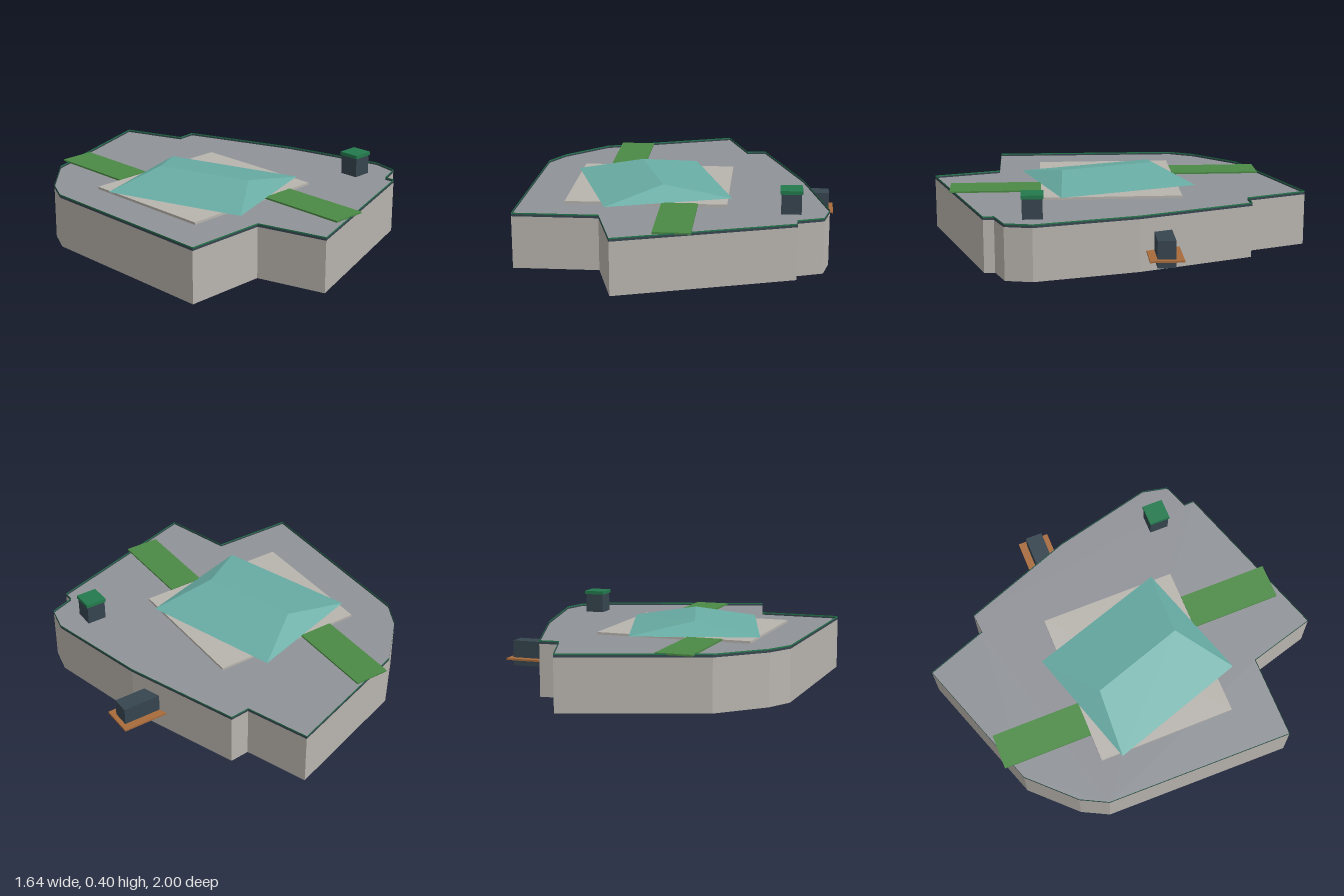
import * as THREE from 'three';

const mat = (name, color, side = THREE.FrontSide) => {
  const m = new THREE.MeshStandardMaterial({ color, side });
  m.name = name;
  return m;
};

// Building footprint as [x, z], clockwise seen from above
const OUTLINE = [
  [0.205, -1], [0.325, -0.67], [0.43, -0.68], [0.65, -0.08], [0.78, 0.46],
  [0.75, 0.6], [0.615, 0.65], [0.617, 0.705], [-0.28, 1], [-0.38, 0.64],
  [-0.825, 0.64], [-0.812, -0.38], [-0.74, -0.52], [-0.52, -0.745],
];

// Flat-shaded surface from triangles and quads given as lists of points
function facets(faces) {
  const pos = [];
  for (const f of faces)
    for (let i = 1; i < f.length - 1; i++) pos.push(...f[0], ...f[i], ...f[i + 1]);
  const g = new THREE.BufferGeometry();
  g.setAttribute('position', new THREE.Float32BufferAttribute(pos, 3));
  g.computeVertexNormals();
  return g;
}

// Thin upright sheet that follows the footprint
function band(y0, y1) {
  return facets(OUTLINE.map(([x, z], i) => {
    const [u, w] = OUTLINE[(i + 1) % OUTLINE.length];
    return [[x, y0, z], [x, y1, z], [u, y1, w], [u, y0, w]];
  }));
}

export function createModel() {
  const group = new THREE.Group();
  const D = THREE.DoubleSide;
  const stone = mat('stone', 0xb8b4ae, D);
  const roofGrey = mat('roofGrey', 0x8f9297, D);
  const charcoal = mat('charcoal', 0x36454f, D);
  const trimGreen = mat('trimGreen', 0x237a4d, D);
  const grass = mat('grass', 0x4c8a45);
  const teal = mat('teal', 0x68aca4, D);
  const wood = mat('wood', 0xa86b3c);

  const add = (name, geometry, material) => {
    const m = new THREE.Mesh(geometry, material);
    m.name = name;
    group.add(m);
    return m;
  };
  // Box given by its lower and upper limits on each axis
  const box = (name, material, x0, x1, y0, y1, z0, z1) =>
    add(name, new THREE.BoxGeometry(x1 - x0, y1 - y0, z1 - z0), material)
      .position.set((x0 + x1) / 2, (y0 + y1) / 2, (z0 + z1) / 2);

  // Open-bottomed shell: walls, edge trim and flat roof
  add('walls', band(0, 0.276), stone);
  add('edgeTrim', band(0.276, 0.288), charcoal);
  add('edgeCap', band(0.288, 0.295), trimGreen);
  const shape = new THREE.Shape(OUTLINE.map(([x, z]) => new THREE.Vector2(x, -z)));
  add('flatRoof', new THREE.ShapeGeometry(shape).rotateX(-Math.PI / 2).translate(0, 0.28, 0), roofGrey);

  // Terrace slab and the two planted strips
  box('terrace', stone, -0.59, 0.255, 0.28, 0.293, -0.335, 0.41);
  box('backStrip', grass, -0.44, -0.25, 0.288, 0.297, -0.82, -0.335);
  box('frontStrip', grass, -0.085, 0.105, 0.288, 0.297, 0.41, 0.9);

  // Turned hip roof with a short ridge
  const y = 0.296, h = 0.361;
  const a = [-0.61, y, -0.225], b = [0.04, y, -0.43], c = [0.277, y, 0.305], d = [-0.37, y, 0.512];
  const p = [-0.25, h, -0.21], q = [-0.085, h, 0.292];
  add('hipRoof', facets([[a, d, q, p], [d, c, q], [c, b, p, q], [b, a, p]]), teal);

  // Chimney
  box('chimney', charcoal, 0.533, 0.637, 0.28, 0.385, 0.407, 0.511);
  box('chimneyCap', trimGreen, 0.528, 0.642, 0.385, 0.404, 0.402, 0.516);

  // Bay passing through the side wall, with a wooden ledge around it
  box('sideBay', charcoal, 0.32, 0.795, 0.063, 0.202, -0.245, -0.152);
  box('sideLedge', wood, 0.295, 0.82, 0.098, 0.108, -0.286, -0.112);

  return group;
}
